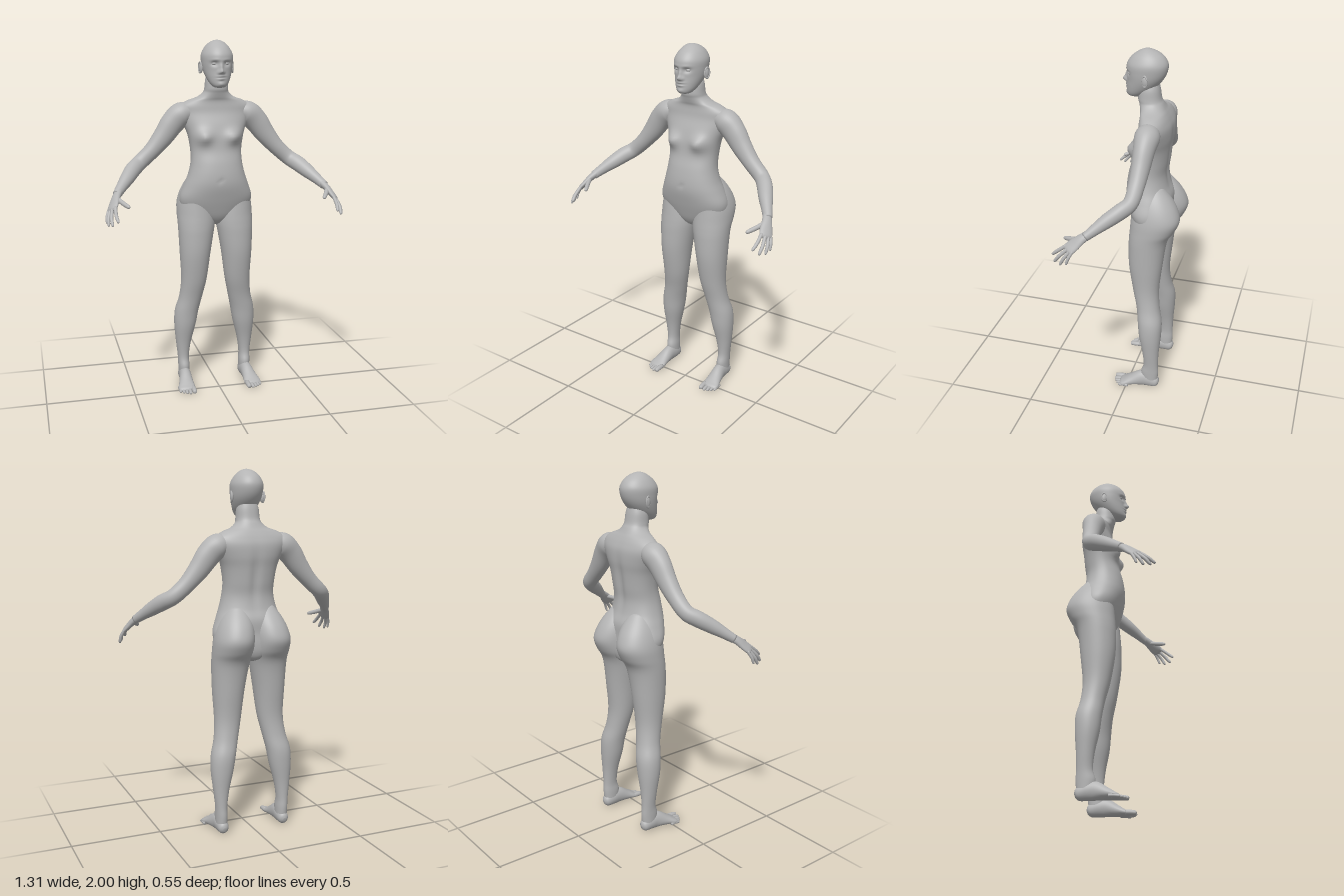
import * as THREE from 'three';

const skinMat = new THREE.MeshStandardMaterial({ color: 0xb4b4b4 });
skinMat.name = 'matte grey';

// Smooth interpolation through rows of numbers
function refine(keys, steps) {
  const out = [], n = keys.length - 1;
  for (let i = 0; i < n; i++) {
    const a = keys[Math.max(i - 1, 0)], b = keys[i], c = keys[i + 1], d = keys[Math.min(i + 2, n)];
    for (let s = 0; s < steps; s++) {
      const t = s / steps;
      out.push(b.map((p, k) => 0.5 * (2 * p + (c[k] - a[k]) * t
        + (2 * a[k] - 5 * p + 4 * c[k] - d[k]) * t * t + (3 * p - a[k] - 3 * c[k] + d[k]) * t * t * t)));
    }
  }
  out.push(keys[n]);
  return out;
}

// Closed skin over rings { c, u, v }, where u x v points along the part
function skin(rings, segs, e = 1, shape = null) {
  const pos = [], idx = [], p = new THREE.Vector3();
  const pw = (x) => Math.sign(x) * Math.abs(x) ** e;
  for (const { c, u, v } of rings) {
    for (let j = 0; j < segs; j++) {
      const a = (j / segs) * Math.PI * 2;
      p.copy(c).addScaledVector(u, pw(Math.cos(a))).addScaledVector(v, pw(Math.sin(a)));
      if (shape) shape(p, c);
      pos.push(p.x, p.y, p.z);
    }
  }
  const last = (rings.length - 1) * segs, start = rings.length * segs;
  pos.push(...rings[0].c.toArray(), ...rings[rings.length - 1].c.toArray());
  for (let j = 0; j < segs; j++) {
    const k = (j + 1) % segs;
    for (let i = 0; i < last; i += segs) {
      idx.push(i + j, i + k, i + segs + k, i + j, i + segs + k, i + segs + j);
    }
    idx.push(start, k, j, start + 1, last + j, last + k);
  }
  const g = new THREE.BufferGeometry();
  g.setAttribute('position', new THREE.Float32BufferAttribute(pos, 3));
  g.setIndex(idx);
  g.computeVertexNormals();
  return g;
}

// Upright part, keys [y, x centre, half width, front z, back z];
// bumps [x, y, x spread, y spread, z shift, side]
function column(keys, steps, segs, e, bumps = []) {
  const rings = refine(keys, steps).map(([y, x, w, f, b]) => ({
    c: new THREE.Vector3(x, y, (f + b) / 2),
    u: new THREE.Vector3(Math.max(w, 0.0005), 0, 0),
    v: new THREE.Vector3(0, 0, -(f - b) / 2),
  }));
  return skin(rings, segs, e, (p, c) => {
    const { x, y } = p, side = Math.sign(p.z - c.z);
    for (const [bx, by, sx, sy, dz, s] of bumps) {
      if (s === side) p.z += dz * Math.exp(-(((x - bx) / sx) ** 2) - ((y - by) / sy) ** 2);
    }
  });
}

// Limb along a path, keys [x, y, z, radius along ref, radius across]
function limb(keys, ref, steps = 5, segs = 28) {
  const rows = refine(keys, steps);
  const at = (i) => new THREE.Vector3(...rows[Math.min(Math.max(i, 0), rows.length - 1)].slice(0, 3));
  return skin(rows.map((r, i) => {
    const t = at(i + 1).sub(at(i - 1)).normalize();
    const v = ref.clone().addScaledVector(t, -ref.dot(t)).normalize();
    const u = v.clone().cross(t);
    return { c: at(i), u: u.multiplyScalar(Math.max(r[4], 0.0005)), v: v.multiplyScalar(Math.max(r[3], 0.0005)) };
  }), segs);
}

// Finger or toe with a rounded tip
function digit(a, b, c, r, ref) {
  const A = new THREE.Vector3(...a), B = new THREE.Vector3(...b), C = new THREE.Vector3(...c);
  const key = (p, s) => [...p.toArray(), r * s, r * s];
  return limb([key(A, 1), key(B, 1), key(B.clone().lerp(C, 0.7), 0.88),
    key(B.clone().lerp(C, 0.93), 0.6), key(C, 0.1)], ref, 4, 14);
}

function mirrored(geo) {
  const g = geo.clone(), ix = g.index.array;
  g.scale(-1, 1, 1);
  for (let i = 0; i < ix.length; i += 3) [ix[i], ix[i + 1]] = [ix[i + 1], ix[i]];
  g.computeVertexNormals();
  return g;
}

const both = (b) => [b, [-b[0], ...b.slice(1)]];

export function createModel() {
  const model = new THREE.Group();
  model.name = 'mannequin';
  const add = (name, geo) => {
    const m = new THREE.Mesh(geo, skinMat);
    m.name = name;
    model.add(m);
  };
  const pair = (name, geo) => {
    add('left' + name, geo);
    add('right' + name, mirrored(geo));
  };
  const X = new THREE.Vector3(1, 0, 0), Z = new THREE.Vector3(0, 0, 1);

  // Torso and neck
  add('torso', column([
    [0.965, 0, 0.015, -0.08, -0.14], [0.985, 0, 0.06, -0.045, -0.19], [1.02, 0, 0.14, -0.02, -0.21],
    [1.07, 0, 0.195, 0, -0.215], [1.13, 0, 0.208, 0.02, -0.21], [1.2, 0, 0.185, 0.038, -0.21],
    [1.26, 0, 0.162, 0.04, -0.19], [1.33, 0, 0.146, 0.03, -0.18], [1.4, 0, 0.145, 0.012, -0.188],
    [1.48, 0, 0.158, 0.003, -0.196], [1.54, 0, 0.18, -0.01, -0.204], [1.6, 0, 0.203, -0.03, -0.203],
    [1.64, 0, 0.203, -0.036, -0.19], [1.67, 0, 0.16, -0.037, -0.175], [1.69, 0, 0.105, -0.03, -0.163],
    [1.715, 0, 0.073, -0.022, -0.15], [1.74, 0, 0.065, -0.015, -0.138], [1.79, 0, 0.06, -0.02, -0.13],
    [1.83, 0, 0.045, -0.03, -0.12],
  ], 5, 72, 0.9, [
    ...both([0.085, 1.475, 0.045, 0.04, 0.034, 1]),
    [0, 1.235, 0.01, 0.012, -0.006, 1],
    [0, 1.42, 0.025, 0.14, 0.012, -1],
  ]));

  // Head with brow, nose, lips and chin
  add('head', column([
    [1.745, 0, 0.02, 0.02, -0.03], [1.752, 0, 0.036, 0.04, -0.04], [1.77, 0, 0.052, 0.046, -0.07],
    [1.8, 0, 0.067, 0.046, -0.11], [1.84, 0, 0.08, 0.043, -0.145], [1.88, 0, 0.086, 0.047, -0.165],
    [1.92, 0, 0.086, 0.045, -0.17], [1.955, 0, 0.07, 0.023, -0.153], [1.98, 0, 0.048, -0.008, -0.122],
    [1.994, 0, 0.025, -0.035, -0.088], [1.999, 0, 0.004, -0.056, -0.064],
  ], 8, 96, 1, [
    [0, 1.832, 0.013, 0.013, 0.023, 1], [0, 1.853, 0.009, 0.02, 0.012, 1],
    ...both([0.014, 1.827, 0.008, 0.008, 0.006, 1]),
    ...both([0.034, 1.874, 0.019, 0.014, -0.013, 1]),
    ...both([0.032, 1.893, 0.025, 0.008, 0.004, 1]),
    [0, 1.807, 0.02, 0.006, 0.008, 1], [0, 1.793, 0.018, 0.006, 0.008, 1],
    [0, 1.8, 0.024, 0.003, -0.005, 1], [0, 1.765, 0.02, 0.012, 0.006, 1],
  ]));
  pair('Eye', new THREE.SphereGeometry(0.013, 20, 14).scale(1.15, 0.7, 1).translate(0.034, 1.874, 0.019));
  pair('Ear', new THREE.SphereGeometry(1, 20, 16).scale(0.009, 0.028, 0.017).rotateY(-0.3).translate(0.088, 1.85, -0.068));
  pair('EarRim', new THREE.TorusGeometry(0.02, 0.004, 8, 28).scale(0.8, 1.4, 1)
    .rotateY(Math.PI / 2 - 0.35).translate(0.092, 1.852, -0.07));

  // Legs, rising into the hips and buttocks; keys [y, inner x, outer x, front z, back z]
  pair('Leg', column([
    [0.03, 0.155, 0.215, -0.1, -0.18], [0.1, 0.153, 0.218, -0.085, -0.187], [0.16, 0.155, 0.22, -0.1, -0.185],
    [0.25, 0.142, 0.23, -0.092, -0.188], [0.36, 0.115, 0.24, -0.07, -0.197], [0.45, 0.098, 0.236, -0.06, -0.197],
    [0.54, 0.078, 0.213, -0.047, -0.178], [0.65, 0.055, 0.203, -0.022, -0.17], [0.8, 0.035, 0.21, 0.002, -0.185],
    [0.92, 0.015, 0.215, 0.006, -0.2], [0.98, 0.004, 0.217, 0.004, -0.217], [1.03, -0.002, 0.218, 0, -0.25],
    [1.09, 0, 0.215, -0.005, -0.273], [1.15, 0, 0.2, -0.01, -0.258], [1.21, 0.01, 0.172, -0.03, -0.222],
    [1.27, 0.04, 0.13, -0.06, -0.17],
  ].map(([y, a, b, f, k]) => [y, (a + b) / 2, (b - a) / 2, f, k]), 5, 48, 0.95));

  // Feet and toes
  pair('Foot', limb([
    [0.185, 0.03, -0.19, 0.01, 0.012], [0.185, 0.034, -0.176, 0.028, 0.032], [0.185, 0.046, -0.135, 0.034, 0.045],
    [0.187, 0.05, -0.09, 0.035, 0.049], [0.193, 0.033, -0.03, 0.042, 0.032], [0.197, 0.021, 0.01, 0.049, 0.02],
    [0.199, 0.016, 0.03, 0.046, 0.014], [0.2, 0.013, 0.042, 0.03, 0.006],
  ], X));
  [[0.163, 0.08, 0.014], [0.186, 0.08, 0.01], [0.205, 0.072, 0.0095], [0.222, 0.06, 0.009], [0.238, 0.045, 0.009]]
    .forEach(([x, z, r], i) => pair('Toe' + (i + 1),
      digit([x, r + 0.005, z - 0.06], [x, r + 0.004, z - 0.03], [x + 0.001, r, z], r, X)));

  // Arms
  pair('Arm', limb([
    [0.12, 1.605, -0.11, 0.045, 0.04], [0.185, 1.598, -0.112, 0.066, 0.066], [0.24, 1.55, -0.11, 0.057, 0.066],
    [0.295, 1.475, -0.107, 0.049, 0.057], [0.36, 1.4, -0.102, 0.043, 0.046], [0.43, 1.337, -0.092, 0.039, 0.043],
    [0.475, 1.305, -0.05, 0.04, 0.044], [0.515, 1.268, 0.005, 0.037, 0.039], [0.552, 1.232, 0.055, 0.029, 0.03],
    [0.585, 1.198, 0.1, 0.022, 0.024],
  ], Z, 6, 36));

  // Hands: palm, four fingers and thumb
  const across = new THREE.Vector3(0.032, -0.015, -0.052).normalize();
  pair('Palm', limb([
    [0.57, 1.213, 0.08, 0.023, 0.02], [0.59, 1.19, 0.115, 0.027, 0.019], [0.607, 1.16, 0.15, 0.035, 0.016],
    [0.62, 1.137, 0.176, 0.035, 0.013], [0.625, 1.128, 0.185, 0.022, 0.005],
  ], across));
  const fingers = {
    IndexFinger: [[0.605, 1.15, 0.19], [0.607, 1.115, 0.235], [0.6, 1.083, 0.272], 0.0095],
    MiddleFinger: [[0.619, 1.141, 0.178], [0.63, 1.1, 0.22], [0.628, 1.06, 0.252], 0.0095],
    RingFinger: [[0.628, 1.136, 0.164], [0.643, 1.094, 0.195], [0.645, 1.054, 0.217], 0.009],
    LittleFinger: [[0.633, 1.136, 0.15], [0.647, 1.1, 0.169], [0.651, 1.064, 0.182], 0.008],
    Thumb: [[0.59, 1.185, 0.125], [0.566, 1.168, 0.175], [0.535, 1.15, 0.228], 0.0125],
  };
  for (const [name, [a, b, c, r]] of Object.entries(fingers)) pair(name, digit(a, b, c, r, across));

  return model;
}
